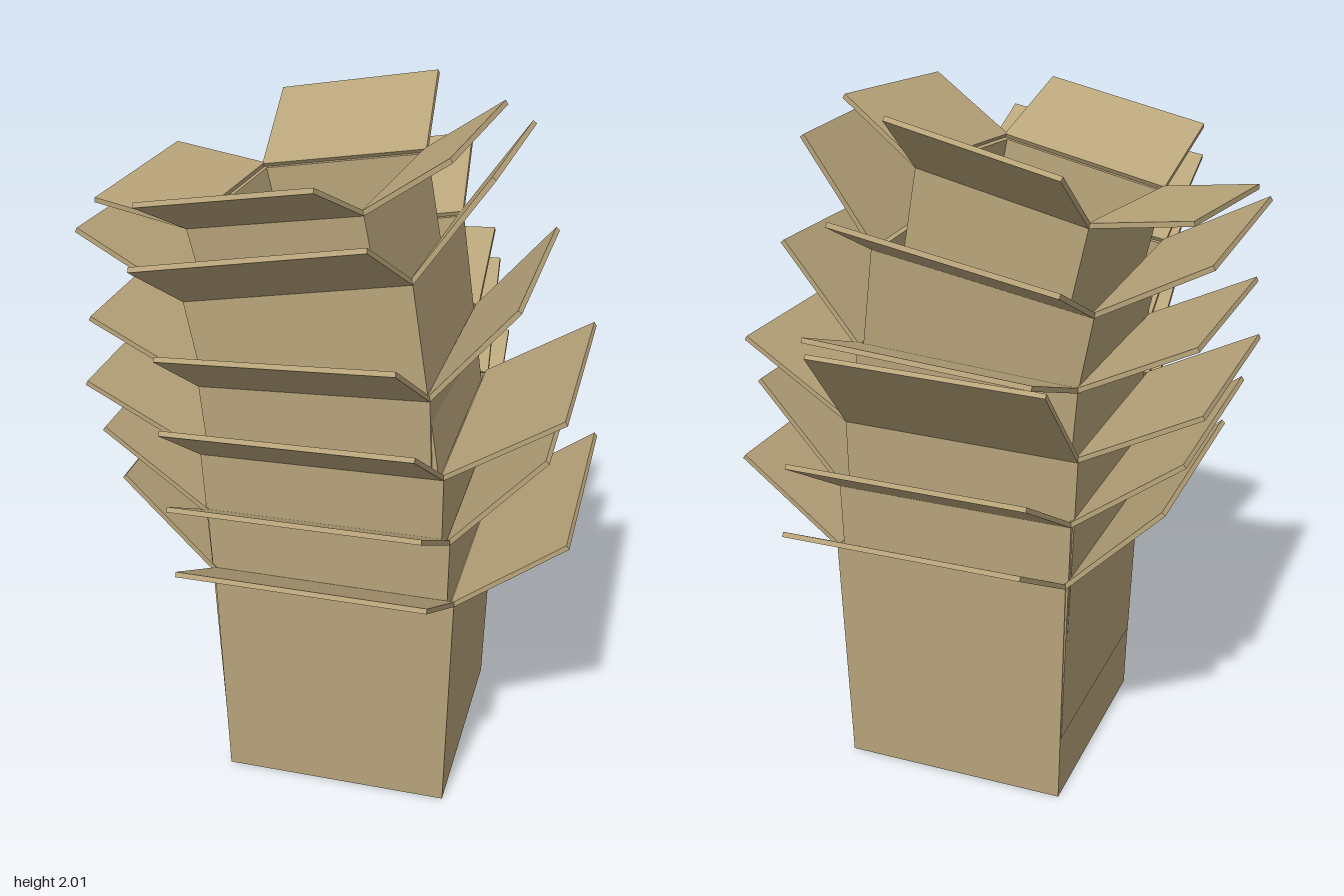
import * as THREE from 'three';

const DEG = Math.PI / 180;
const THICK = 0.014;
const BASE = 0.955; // floor width relative to the rim

// rim: centre of the open top; size: [width, depth, height]
// tilt: [pitch, yaw, roll]; flaps: lift of [front, left, back, right]
const BOXES = [
  { rim: [0.033, 0.715, 0], size: [0.705, 0.7, 0.715], tilt: [0, 0, 0], flaps: [30.5, 37, 30.5, 45] },
  { rim: [0.018, 0.912, 0], size: [0.7, 0.7, 0.7], tilt: [0, 0, 0.5], flaps: [31, 47.5, 31, 36.5] },
  { rim: [0, 1.108, 0.005], size: [0.69, 0.69, 0.69], tilt: [0, 0, 1.2], flaps: [35, 31, 48, 28] },
  { rim: [-0.02, 1.318, 0], size: [0.65, 0.66, 0.65], tilt: [0, -1, 3.5], flaps: [35, 46.5, 21, 29.5] },
  { rim: [-0.068, 1.58, -0.01], size: [0.64, 0.64, 0.61], tilt: [-2.5, -1, 10.3], flaps: [31, 45, 28, 38] },
  { rim: [-0.12, 1.772, -0.005], size: [0.517, 0.52, 0.52], tilt: [2, -6.1, 11.2], flaps: [31, 24, 36, 19] },
];

const cardboard = new THREE.MeshStandardMaterial({ color: 0xb8a47a, flatShading: true });

// Open tapered carton with wall thickness; its rim lies at y = 0
function cartonGeometry([w, d, h]) {
  const r = Math.SQRT1_2; // corner radius of a unit square
  const t = (THICK / w) * Math.SQRT2;
  const profile = [
    [0, -h], [r * BASE, -h], [r, 0], [r - t, 0], [r * BASE - t, THICK - h], [0, THICK - h],
  ].map(([x, y]) => new THREE.Vector2(x, y));
  return new THREE.LatheGeometry(profile, 4, Math.PI / 4).scale(w, 1, d);
}

// Thin panel hinged at z = 0, slightly narrower at its free edge
function flapGeometry(width, length) {
  const geometry = new THREE.BoxGeometry(width, THICK, length).translate(0, THICK / 2, length / 2);
  const p = geometry.attributes.position;
  for (let i = 0; i < p.count; i++) {
    if (p.getZ(i) > length / 2) p.setX(i, p.getX(i) * 0.965);
  }
  return geometry;
}

function createBox({ rim, size, tilt, flaps }) {
  const box = new THREE.Group();
  box.position.set(...rim);
  box.rotation.set(tilt[0] * DEG, tilt[1] * DEG, tilt[2] * DEG, 'YXZ');

  const carton = new THREE.Mesh(cartonGeometry(size), cardboard);
  carton.name = 'carton';
  box.add(carton);

  // One flap along each rim edge
  const [w, d] = size;
  ['frontFlap', 'leftFlap', 'backFlap', 'rightFlap'].forEach((name, i) => {
    const [edge, reach] = i % 2 ? [d, w / 2] : [w, d / 2];
    const side = new THREE.Group();
    side.name = name;
    side.rotation.y = i * Math.PI / 2;
    const flap = new THREE.Mesh(flapGeometry(edge, w * 0.543), cardboard);
    flap.name = name + 'Panel';
    flap.position.z = reach;
    flap.rotation.x = -flaps[i] * DEG;
    side.add(flap);
    box.add(side);
  });
  return box;
}

export function createModel() {
  const model = new THREE.Group();
  model.name = 'nestedBoxStack';
  BOXES.forEach((spec, i) => {
    const box = createBox(spec);
    box.name = `box${i + 1}`;
    model.add(box);
  });
  return model;
}
